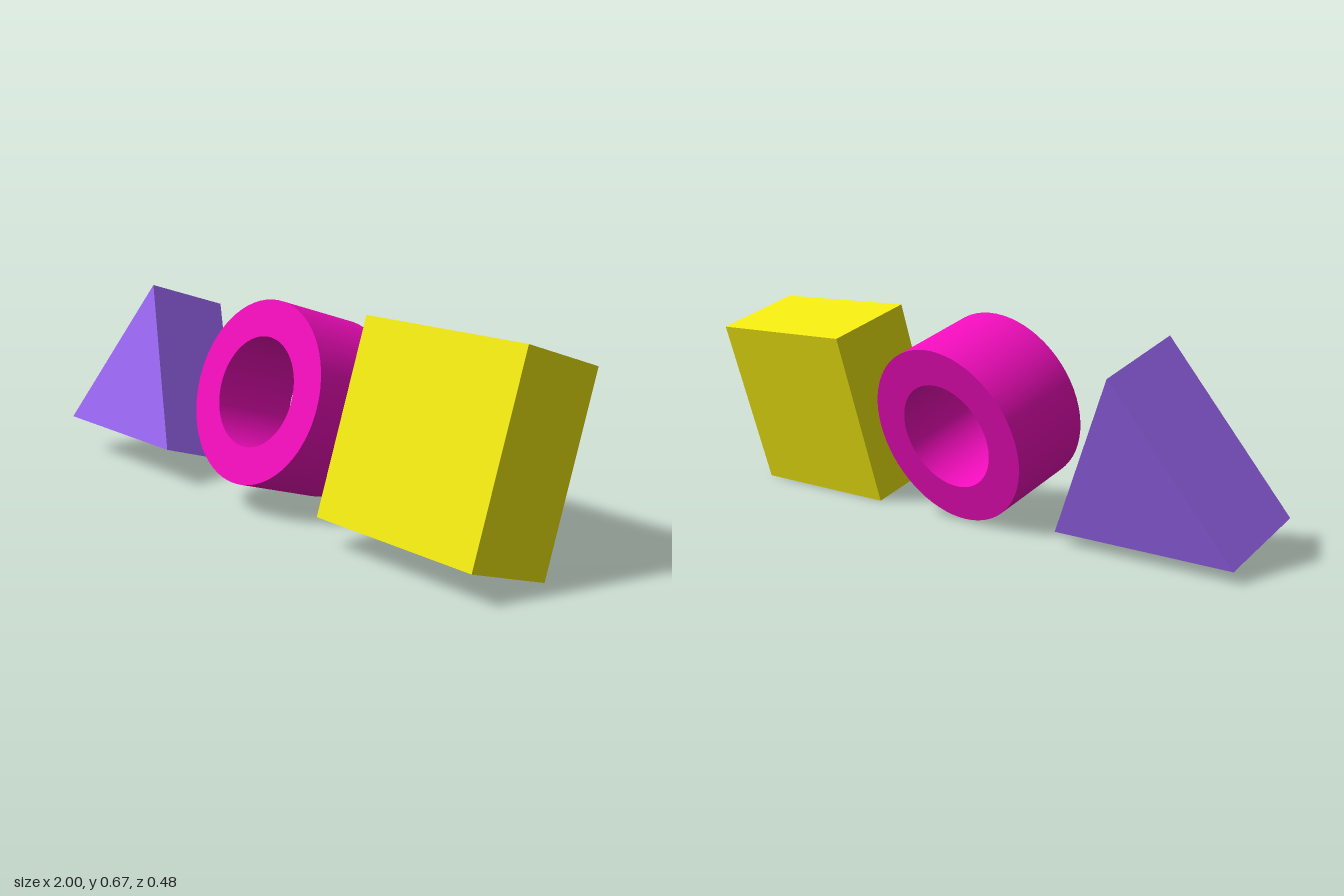
import * as THREE from 'three';
import { toCreasedNormals } from 'three/addons/utils/BufferGeometryUtils.js';

const DEPTH = 0.307;

// Extrudes a shape to the common depth, centred on z
function slab(shape) {
  const geometry = new THREE.ExtrudeGeometry(shape, {
    depth: DEPTH, bevelEnabled: false, curveSegments: 32,
  });
  geometry.translate(0, 0, -DEPTH / 2);
  return toCreasedNormals(geometry, Math.PI / 6);
}

function addPart(group, name, geometry, color, x, y, z) {
  const mesh = new THREE.Mesh(geometry, new THREE.MeshStandardMaterial({ color }));
  mesh.name = name;
  mesh.position.set(x, y, z);
  group.add(mesh);
}

export function createModel() {
  const model = new THREE.Group();
  model.name = 'shapeRow';

  // All three solids lean back together
  const row = new THREE.Group();
  row.name = 'tiltedRow';
  row.position.y = 0.334;
  row.rotation.x = -THREE.MathUtils.degToRad(18);
  model.add(row);

  // Equilateral triangular prism
  const triangle = new THREE.Shape([
    new THREE.Vector2(-0.309, 0),
    new THREE.Vector2(0.309, 0),
    new THREE.Vector2(0, 0.534),
  ]);
  addPart(row, 'triangularPrism', slab(triangle), 0x9966f0, -0.691, -0.263, -0.002);

  // Thick ring with a round through-hole
  const disc = new THREE.Shape().absarc(0, 0, 0.294, 0, Math.PI * 2, false);
  disc.holes.push(new THREE.Path().absarc(0, 0, 0.176, 0, Math.PI * 2, true));
  addPart(row, 'ring', slab(disc), 0xf00dbb, -0.007, 0.003, -0.003);

  // Square block
  addPart(row, 'squareBlock', new THREE.BoxGeometry(0.6, 0.6, DEPTH), 0xf0e910, 0.7, 0, 0);

  return model;
}
